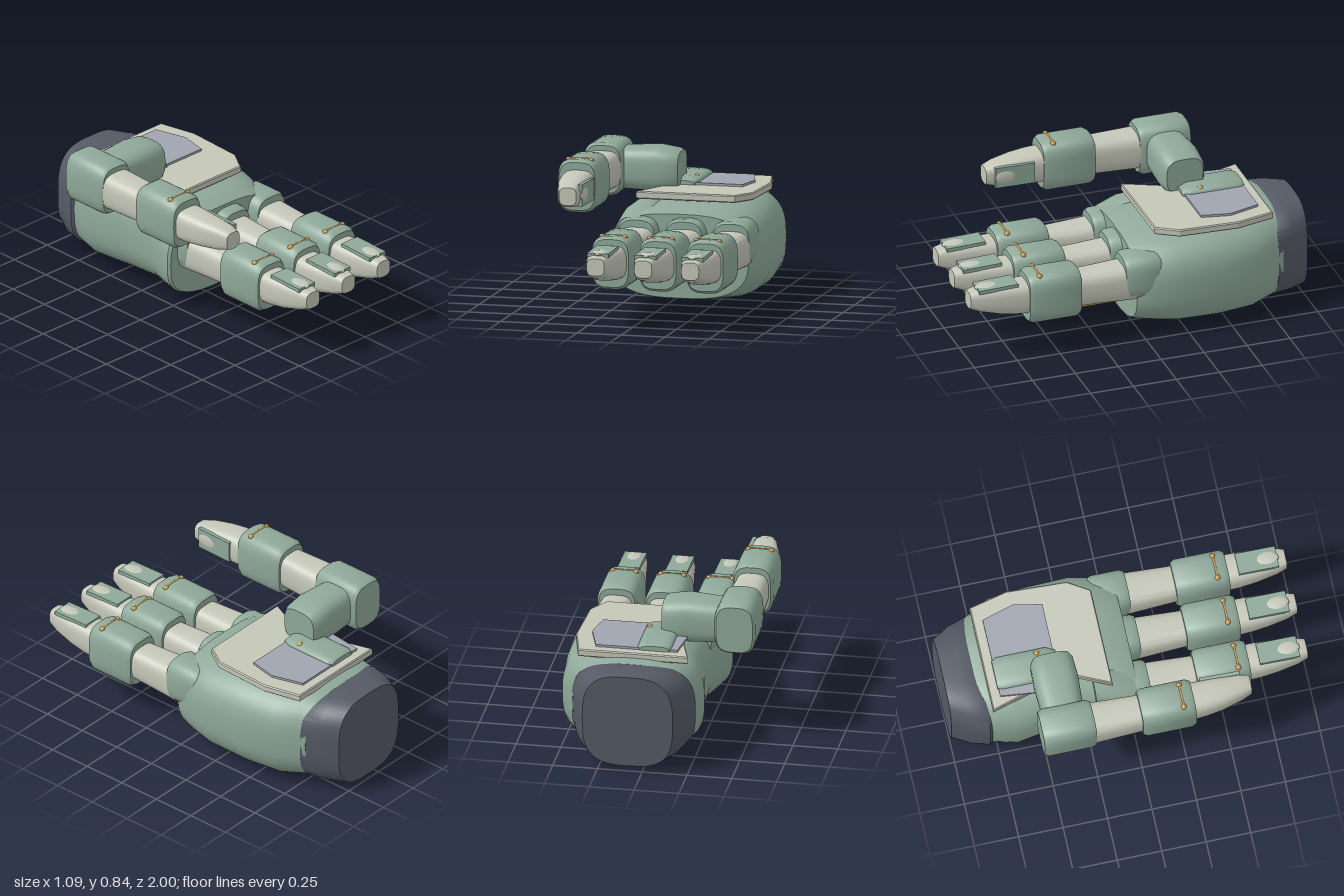
import * as THREE from 'three';
import { toCreasedNormals } from 'three/addons/utils/BufferGeometryUtils.js';

const mat = (color) => new THREE.MeshStandardMaterial({ color });

export function createModel() {
  const green = mat(0x8fa99a), light = mat(0xc4c7b8), dark = mat(0x555a66);
  const grey = mat(0xa0a4b0), gold = mat(0xc99a4e);
  const hand = new THREE.Group();
  hand.name = 'mechanicalHand';

  const add = (parent, name, geo, material, x = 0, y = 0, z = 0) => {
    const m = new THREE.Mesh(geo, material);
    m.name = name;
    m.position.set(x, y, z);
    parent.add(m);
    return m;
  };

  // Capped loft along z; each section is [z, xMin, xMax, yMin, yMax]
  const loft = (sections, power = 3, sides = 40, crease = 0.6) => {
    const pos = [], idx = [];
    const curve = (v) => Math.sign(v) * Math.pow(Math.abs(v), 2 / power);
    for (const [z, x0, x1, y0, y1] of sections) {
      for (let j = 0; j < sides; j++) {
        const a = (j / sides) * Math.PI * 2;
        pos.push((x0 + x1) / 2 + curve(Math.cos(a)) * (x1 - x0) / 2,
          (y0 + y1) / 2 + curve(Math.sin(a)) * (y1 - y0) / 2, z);
      }
    }
    const n = sections.length, last = (n - 1) * sides, c0 = n * sides;
    for (const s of [sections[0], sections[n - 1]]) pos.push((s[1] + s[2]) / 2, (s[3] + s[4]) / 2, s[0]);
    for (let j = 0; j < sides; j++) {
      const k = (j + 1) % sides;
      for (let i = 0; i < n - 1; i++) {
        const a = i * sides + j, b = i * sides + k;
        idx.push(a, b, b + sides, a, b + sides, a + sides);
      }
      idx.push(c0, k, j, c0 + 1, last + j, last + k);
    }
    const g = new THREE.BufferGeometry();
    g.setAttribute('position', new THREE.Float32BufferAttribute(pos, 3));
    g.setIndex(idx);
    return toCreasedNormals(g, crease);
  };

  // Sleeve with softened ends, centred on x = 0, y = 0
  const sleeve = (z0, z1, w, h, power = 3.4) => loft([
    [z0, -w * 0.9, w * 0.9, -h * 0.9, h * 0.9],
    [z0 + 0.025, -w, w, -h, h],
    [z1 - 0.025, -w, w, -h, h],
    [z1, -w * 0.9, w * 0.9, -h * 0.9, h * 0.9]], power);

  // Horizontal plate from [x, z] outline points
  const plate = (points, depth, bevel) => {
    const shape = new THREE.Shape(points.map(([x, z]) => new THREE.Vector2(x, -z)));
    const g = new THREE.ExtrudeGeometry(shape, {
      depth: depth - 2 * bevel, bevelEnabled: bevel > 0,
      bevelThickness: bevel, bevelSize: bevel, bevelOffset: -bevel, bevelSegments: 1 });
    return g.rotateX(-Math.PI / 2).translate(0, bevel, 0);
  };

  // Green armour joint with a gold pin pair across the top
  const joint = (parent, z0, z1, pinZ) => {
    add(parent, 'jointSleeve', sleeve(z0, z1, 0.114, 0.148), green);
    for (const s of [-1, 1])
      add(parent, 'pinHead', new THREE.SphereGeometry(0.016, 14, 10), gold, s * 0.064, 0.137, pinZ);
    const bar = add(parent, 'pinBar', new THREE.CylinderGeometry(0.006, 0.006, 0.13, 10), gold, 0, 0.145, pinZ);
    bar.rotation.z = Math.PI / 2;
  };

  // Fingertip with nail on its local top; z = 0 is the joint end
  const fingertip = (parent) => {
    const g = new THREE.Group();
    g.name = 'fingertip';
    add(g, 'tip', loft([
      [-0.05, -0.092, 0.092, -0.09, 0.1],
      [0.06, -0.09, 0.09, -0.083, 0.1],
      [0.16, -0.082, 0.082, -0.068, 0.099],
      [0.27, -0.068, 0.068, -0.038, 0.094],
      [0.33, -0.05, 0.05, -0.015, 0.082]], 3.2), light);
    const nail = add(g, 'nail', new THREE.BoxGeometry(0.122, 0.022, 0.225), green, 0, 0.095, 0.17);
    nail.rotation.x = 0.03;
    add(g, 'nailPad', new THREE.SphereGeometry(1, 20, 12), light, 0, 0.096, 0.22).scale.set(0.045, 0.014, 0.072);
    parent.add(g);
    return g;
  };

  // Palm and wrist
  add(hand, 'palm', loft([
    [-0.83, -0.24, 0.42, 0.04, 0.57],
    [-0.77, -0.255, 0.44, 0.025, 0.585],
    [-0.65, -0.285, 0.51, 0.012, 0.59],
    [-0.45, -0.25, 0.53, 0.005, 0.59],
    [-0.2, -0.245, 0.54, 0.018, 0.575],
    [-0.06, -0.295, 0.515, 0.035, 0.55],
    [0.025, -0.32, 0.485, 0.045, 0.528],
    [0.042, -0.31, 0.475, 0.052, 0.52]], 2.9, 56), green);
  add(hand, 'wristCuff', loft([
    [-1, -0.17, 0.335, 0.035, 0.565],
    [-0.9, -0.23, 0.395, 0.03, 0.572],
    [-0.8, -0.262, 0.43, 0.035, 0.568],
    [-0.77, -0.24, 0.41, 0.05, 0.55]], 3.1, 56, 0.9), dark);
  // Raised web beside the thumb
  add(hand, 'thumbWeb', loft([
    [-0.2, -0.24, -0.06, 0.36, 0.57],
    [-0.08, -0.28, -0.04, 0.3, 0.55],
    [0.035, -0.3, 0, 0.2, 0.5]], 2.4), green);

  // Back-of-hand plates
  add(hand, 'backPlate', plate([
    [-0.2, -0.1], [0.36, -0.1], [0.435, -0.22], [0.45, -0.56], [0.4, -0.775],
    [-0.215, -0.775], [-0.14, -0.52], [-0.11, -0.3]], 0.042, 0.006), light, 0, 0.57, 0);
  add(hand, 'inlayPanel', plate([
    [0, -0.38], [0.33, -0.38], [0.362, -0.54], [0.31, -0.72], [-0.145, -0.72],
    [-0.17, -0.5]], 0.014, 0), grey, 0, 0.611, 0);
  add(hand, 'thumbBase', loft([
    [-0.725, -0.1, 0.065, 0.58, 0.64],
    [-0.7, -0.11, 0.08, 0.58, 0.652],
    [-0.42, -0.11, 0.08, 0.58, 0.655],
    [-0.37, -0.1, 0.06, 0.58, 0.635]], 3), green);
  add(hand, 'thumbBasePin', new THREE.SphereGeometry(0.02, 14, 10), gold, 0.048, 0.637, -0.475);

  // Three fingers
  for (const x of [-0.145, 0.125, 0.392]) {
    const f = new THREE.Group();
    f.name = 'finger';
    f.position.set(x, 0.342, 0);
    add(f, 'knuckle', sleeve(-0.1, 0.11, 0.115, 0.13, 3), green).position.y = 0.03;
    add(f, 'phalange', loft([
      [0.05, -0.108, 0.108, -0.105, 0.11],
      [0.25, -0.098, 0.098, -0.097, 0.1],
      [0.4, -0.09, 0.09, -0.095, 0.095]], 3.2), light);
    joint(f, 0.37, 0.67, 0.605);
    for (const s of [-1, 1]) {
      const rod = add(f, 'tendonRod', new THREE.CylinderGeometry(0.014, 0.014, 0.38, 12), gold, s * 0.02, -0.103, 0.21);
      rod.rotation.x = Math.PI / 2;
    }
    fingertip(f).position.z = 0.67;
    hand.add(f);
  }

  // Thumb: a sideways root, an elbow, then a forward-pointing digit
  const root = add(hand, 'thumbRoot', loft([
    [-0.34, -0.115, 0.115, -0.118, 0.115],
    [-0.15, -0.125, 0.125, -0.125, 0.128],
    [-0.045, -0.12, 0.12, -0.118, 0.112],
    [-0.018, -0.105, 0.105, -0.1, 0.1]], 3.2), green, 0, 0.695, -0.41);
  root.rotation.y = Math.PI / 2;
  const thumb = new THREE.Group();
  thumb.name = 'thumb';
  thumb.position.set(-0.432, 0.696, 0);
  add(thumb, 'elbow', sleeve(-0.555, -0.26, 0.114, 0.148), green);
  add(thumb, 'thumbPhalange', loft([
    [-0.3, -0.105, 0.105, -0.108, 0.105],
    [0.03, -0.09, 0.09, -0.1, 0.1]], 3.2), light);
  joint(thumb, 0, 0.3, 0.235);
  const tip = fingertip(thumb);
  tip.position.z = 0.3;
  tip.rotation.z = -Math.PI / 2;
  hand.add(thumb);

  return hand;
}
